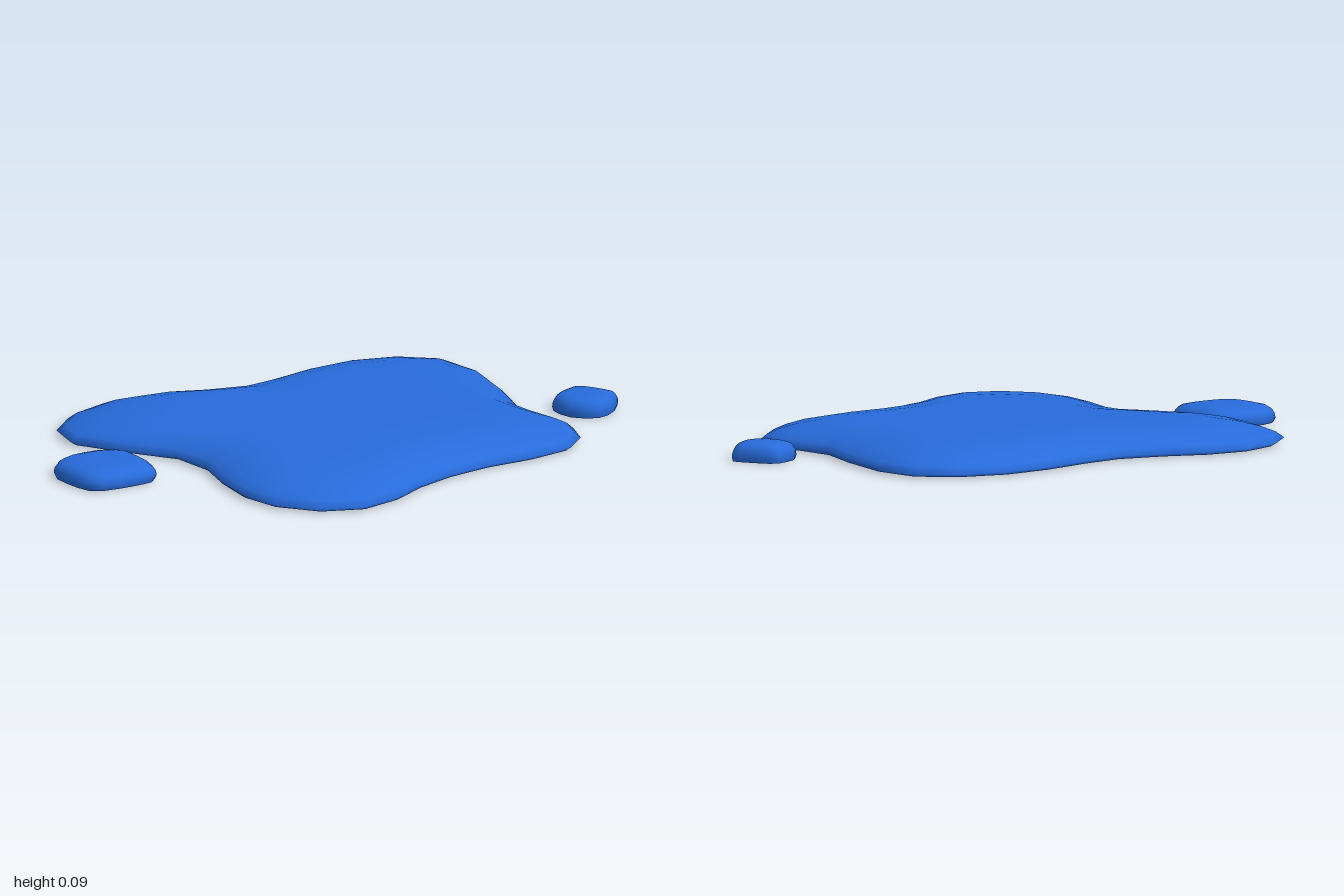
import * as THREE from 'three';

// Open-bottomed shell: stacks copies of an outline [x, z] (clockwise from above)
// scaled towards its center by a profile of [scale, y], from the lip up to the crown
function dome(name, outline, center, profile, material) {
  const n = outline.length;
  const positions = [];
  const indices = [];
  for (const [s, y] of profile) {
    for (const [x, z] of outline) {
      positions.push(center[0] + (x - center[0]) * s, y, center[1] + (z - center[1]) * s);
    }
  }
  for (let r = 0; r < profile.length - 1; r++) {
    for (let j = 0; j < n; j++) {
      const a = r * n + j;
      const b = r * n + ((j + 1) % n);
      indices.push(a, a + n, b);
      // the crown shrinks to a point, so it takes one triangle per side
      if (profile[r + 1][0] > 0) indices.push(b, a + n, b + n);
    }
  }
  const geometry = new THREE.BufferGeometry();
  geometry.setAttribute('position', new THREE.Float32BufferAttribute(positions, 3));
  geometry.setIndex(indices);
  geometry.computeVertexNormals();
  const mesh = new THREE.Mesh(geometry, material);
  mesh.name = name;
  return mesh;
}

export function createModel() {
  const group = new THREE.Group();
  group.name = 'puddle';
  const water = new THREE.MeshStandardMaterial({ color: 0x276bdb, side: THREE.DoubleSide });
  water.name = 'water blue';

  // Main pool with four lobes
  const pool = [
    [-0.49, -0.705], [-0.34, -0.69], [-0.2, -0.635], [-0.04, -0.595],
    [0.12, -0.615], [0.3, -0.655], [0.48, -0.665], [0.64, -0.62],
    [0.755, -0.52], [0.78, -0.355], [0.735, -0.125], [0.68, 0.06],
    [0.695, 0.195], [0.72, 0.315], [0.685, 0.415], [0.595, 0.495],
    [0.445, 0.52], [0.27, 0.52], [0.11, 0.545], [-0.04, 0.595],
    [-0.18, 0.67], [-0.33, 0.705], [-0.47, 0.65], [-0.57, 0.525],
    [-0.6, 0.38], [-0.58, 0.21], [-0.54, 0.05], [-0.555, -0.11],
    [-0.665, -0.27], [-0.76, -0.43], [-0.73, -0.565], [-0.625, -0.66],
  ];
  const poolProfile = [
    [0.98, 0.003], [1, 0.014], [0.97, 0.034], [0.92, 0.051], [0.84, 0.069],
    [0.74, 0.082], [0.6, 0.089], [0.3, 0.09], [0, 0.09],
  ];
  group.add(dome('mainPool', pool, [0.03, -0.03], poolProfile, water));

  // Two separate drops beside it
  const dropProfile = [
    [0.96, 0], [1, 0.014], [0.98, 0.03], [0.92, 0.044],
    [0.82, 0.054], [0.65, 0.06], [0.35, 0.062], [0, 0.062],
  ];
  const rightDrop = [
    [-0.96, -0.2], [-0.91, -0.22], [-0.85, -0.225], [-0.79, -0.22], [-0.735, -0.2],
    [-0.705, -0.165], [-0.7, -0.1], [-0.7, -0.03], [-0.715, 0.03], [-0.745, 0.06],
    [-0.8, 0.067], [-0.87, 0.067], [-0.94, 0.06], [-0.98, 0.035],
    [-0.995, -0.02], [-1, -0.08], [-1, -0.14], [-0.985, -0.175],
  ];
  group.add(dome('rightDrop', rightDrop, [-0.85, -0.08], dropProfile, water));

  const leftDrop = [
    [0.86, 0.025], [0.905, 0.01], [0.935, 0.025], [0.965, 0.07], [0.99, 0.115],
    [1, 0.145], [0.965, 0.185], [0.92, 0.217], [0.88, 0.228], [0.835, 0.213],
    [0.797, 0.17], [0.785, 0.12], [0.788, 0.075], [0.815, 0.047],
  ];
  group.add(dome('leftDrop', leftDrop, [0.89, 0.12], dropProfile, water));

  return group;
}
